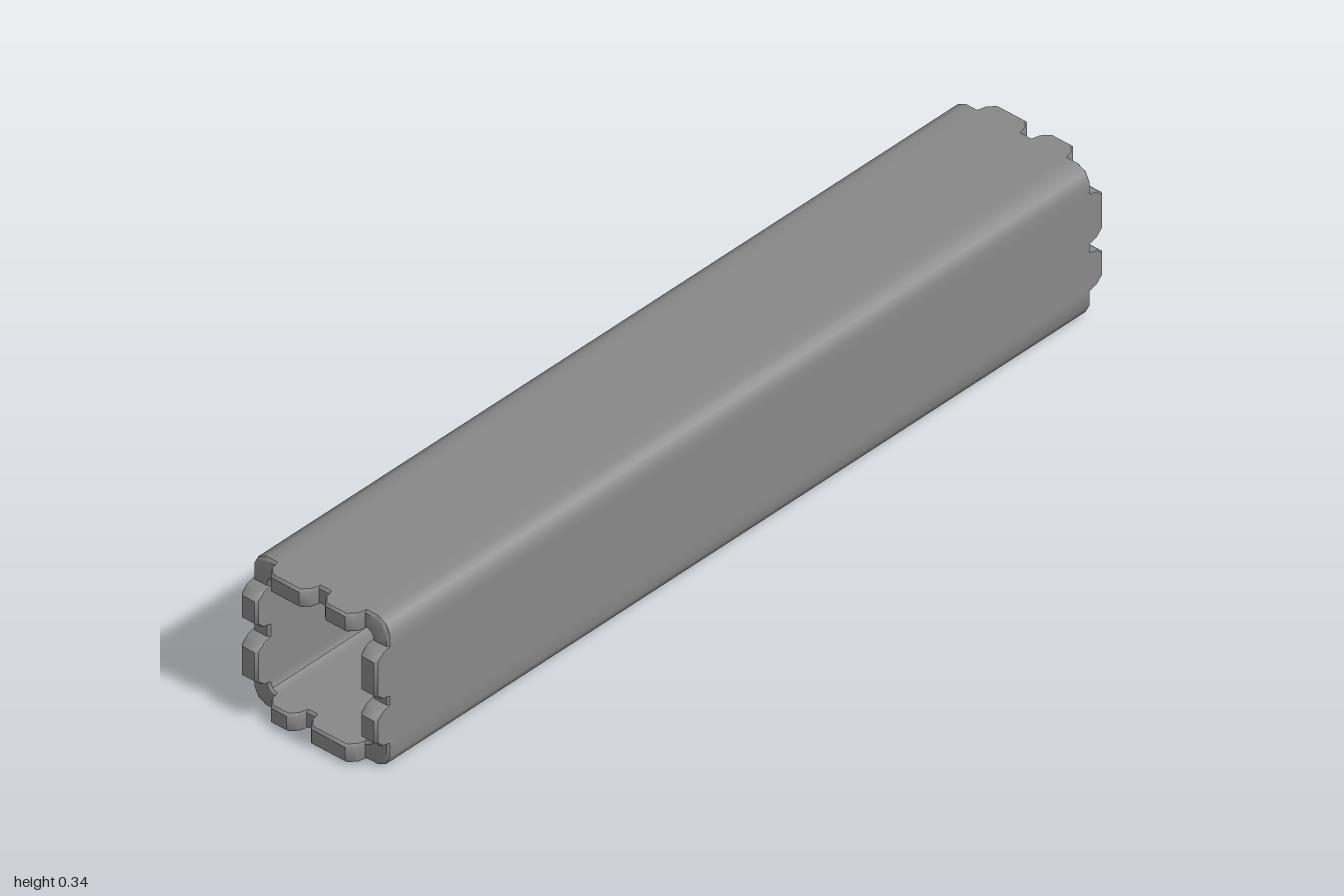
import * as THREE from 'three';
import { toCreasedNormals } from 'three/addons/utils/BufferGeometryUtils.js';

const OUT = 0.169, IN = 0.128, BASE = 0.966, TIP = 1, BEVEL = 0.005;

// two teeth [start, end] on each wall, going round: left, top, right, bottom of the section
const TEETH = [
  [[-0.101, -0.026], [0.006, 0.107]],
  [[-0.105, -0.03], [0.01, 0.105]],
  [[-0.102, -0.026], [0.014, 0.105]],
  [[-0.105, -0.04], [-0.005, 0.105]],
];

// closed ring of stations: outer point, inner point and end position x
function buildRing() {
  const ring = [];
  TEETH.forEach((teeth, k) => {
    const c = [1, 0, -1, 0][k], s = [0, 1, 0, -1][k];
    const turn = (u, v) => [v * s + u * c, v * c - u * s]; // [y, z]
    const add = (u, x) => {
      const inner = THREE.MathUtils.clamp(u, -0.112, 0.112);
      ring.push({ o: turn(u, OUT), i: turn(inner, IN), x });
    };
    add(-0.139, BASE);
    for (const [a, b] of teeth) {
      add(a - 0.006, BASE);
      add(a - 0.001, 0.985);
      add(a + 0.013, TIP);
      add(b - 0.013, TIP);
      add(b + 0.001, 0.985);
      add(b + 0.006, BASE);
    }
    add(0.139, BASE);
    // rounded corner
    ring.push({ o: turn(0.159, 0.159), i: turn(0.123, 0.123), x: BASE });
  });
  return ring;
}

// point on a wall, where the wall meets the bevel
function wallPoint(p, wall, side) {
  return [(p.x - BEVEL) * side, OUT + p[wall][0], p[wall][1]];
}

// point on the end face, inset from the wall by the bevel
function capPoint(p, wall, side) {
  const from = p[wall], to = p[wall === 'o' ? 'i' : 'o'];
  const t = BEVEL / (OUT - IN);
  return [p.x * side, OUT + THREE.MathUtils.lerp(from[0], to[0], t), THREE.MathUtils.lerp(from[1], to[1], t)];
}

// strips of quads running round the ring between neighbouring lines of points
function surface(ring, lines) {
  const pos = [];
  ring.forEach((p, n) => {
    const q = ring[(n + 1) % ring.length];
    for (let k = 0; k < lines.length - 1; k++) {
      const a = lines[k](p), b = lines[k + 1](p), c = lines[k + 1](q), d = lines[k](q);
      for (const v of [a, b, c, a, c, d]) pos.push(...v);
    }
  });
  const geo = new THREE.BufferGeometry();
  geo.setAttribute('position', new THREE.Float32BufferAttribute(pos, 3));
  return toCreasedNormals(geo, 0.7);
}

export function createModel() {
  const group = new THREE.Group();
  group.name = 'squareTube';
  const material = new THREE.MeshStandardMaterial({ color: 0x888888 });
  const ring = buildRing();
  const wall = (name, side) => (p) => wallPoint(p, name, side);
  const cap = (name, side) => (p) => capPoint(p, name, side);

  const parts = {
    outerWall: [wall('o', -1), wall('o', 1)],
    innerWall: [wall('i', 1), wall('i', -1)],
    leftToothedEnd: [wall('o', 1), cap('o', 1), cap('i', 1), wall('i', 1)],
    rightToothedEnd: [wall('i', -1), cap('i', -1), cap('o', -1), wall('o', -1)],
  };
  for (const [name, lines] of Object.entries(parts)) {
    const mesh = new THREE.Mesh(surface(ring, lines), material);
    mesh.name = name;
    group.add(mesh);
  }
  return group;
}
